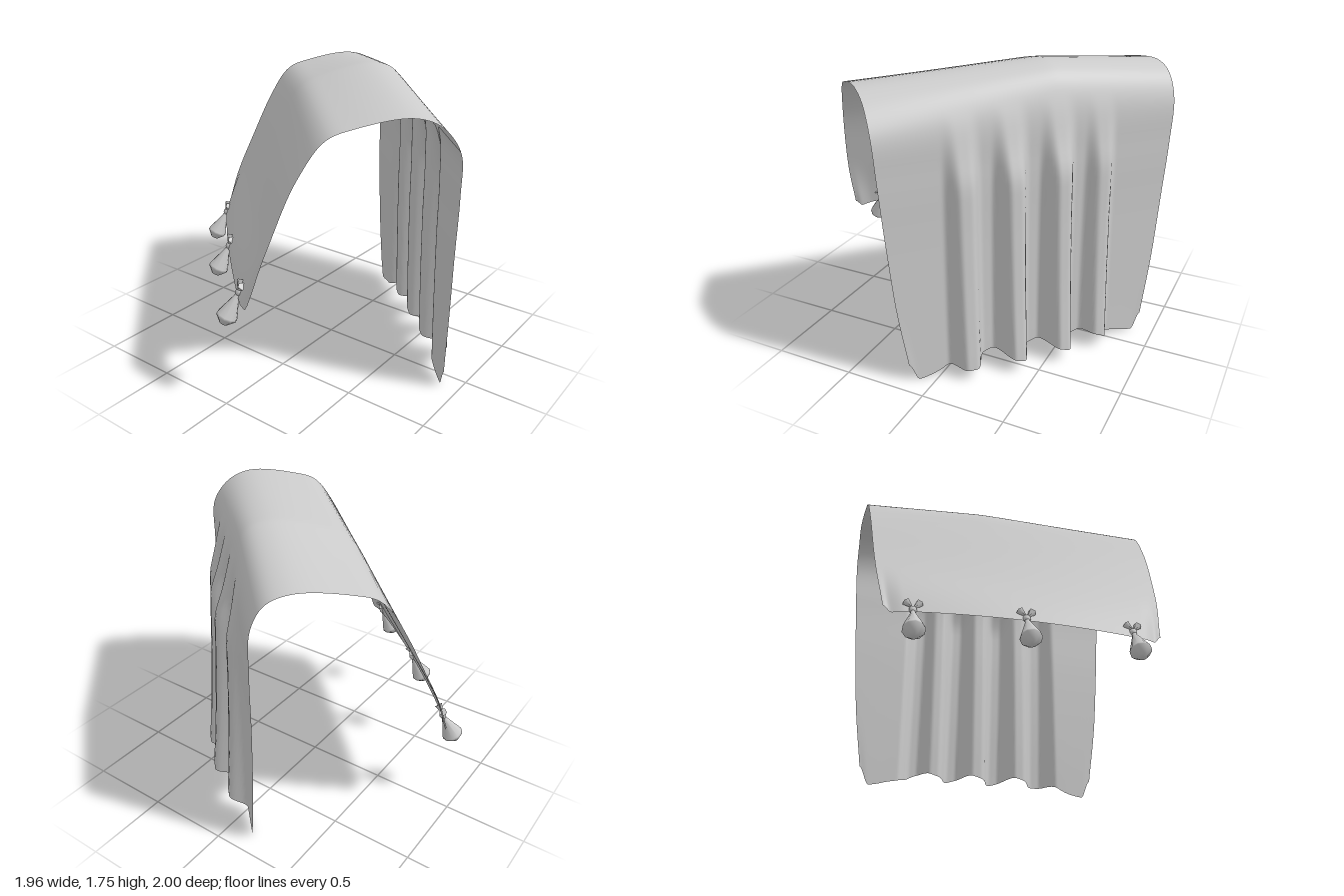
import * as THREE from 'three';

const grey = new THREE.MeshStandardMaterial({ color: 0xcccccc, side: THREE.DoubleSide });
const { smoothstep, clamp, lerp } = THREE.MathUtils;

// Cross-section of the drape from back hem to front hem: depth, height, half width
const section = new THREE.CatmullRomCurve3([
  [-0.62, 0.63, 0.79], [-0.545, 0.84, 0.82], [-0.45, 1.07, 0.845], [-0.3, 1.4, 0.87],
  [-0.165, 1.59, 0.885], [-0.02, 1.645, 0.89], [0.27, 1.685, 0.895], [0.41, 1.635, 0.89],
  [0.5, 1.5, 0.887], [0.515, 1.25, 0.873], [0.515, 0.9, 0.848], [0.52, 0.5, 0.815],
  [0.525, 0.2, 0.785], [0.53, 0, 0.76],
].map(p => new THREE.Vector3(...p)), false, 'centripetal');

// Front pleats: centre, half width, depth at the hem
const pleats = [[-0.415, 0.14, 0.128], [-0.135, 0.14, 0.165], [0.15, 0.14, 0.165], [0.415, 0.125, 0.105]];

function pleatDepth(u) {
  let depth = 0;
  for (const [centre, half, size] of pleats) {
    const k = Math.abs(u - centre) / half;
    if (k < 1) depth += size * smoothstep(0.5 + 0.5 * Math.cos(k * Math.PI), 0.05, 0.95);
  }
  return depth;
}

function clothPoint(t, s) {
  const p = section.getPoint(s);
  const a = Math.abs(t);
  let [w, y, half] = [p.x, p.y, p.z];
  const u = t * half;
  w += 0.025 * t * smoothstep(y, 0.7, 1.4) * (1 - smoothstep(s, 0.5, 0.65));
  // The ridge rises to a blunt peak off centre
  const d = (t - 0.17) / (t > 0.17 ? 0.83 : 1.17);
  const peak = 1 - Math.sqrt(d * d + 0.002);
  const lift = (0.05 + 0.08 * w) * peak * smoothstep(p.y, 1.3, 1.66);
  if (p.x > 0.4 && s > 0.5) {
    // Front panel: pleats deepen downward, hem is higher in the middle
    const drop = smoothstep(1.55 - y, 0, 0.4);
    w += pleatDepth(u) * drop * lerp(1, 0.55, clamp(y / 1.4, 0, 1));
    const hem = 0.09 * (1 - smoothstep(a, 0.45, 0.95)) + 0.11 * smoothstep(a, 0.92, 1)
      + 0.015 * Math.sin(u * 21) * (1 - smoothstep(a, 0.6, 0.85));
    y += hem * (1 - smoothstep(y, 0, 0.6));
  } else if (s < 0.3) {
    // Back panel: slightly bowed, with rounded corners
    const low = 1 - smoothstep(y, 0.63, 1.0);
    y += low * (0.025 * (1 - a * a) + 0.045 * smoothstep(a, 0.94, 1));
    w += low * (0.025 * smoothstep(a, 0.85, 1) - 0.03 * (1 - t * t));
  }
  return [u, y + lift, w];
}

function makeCloth() {
  const cols = 160, rows = 90, pos = [], index = [];
  for (let j = 0; j <= rows; j++)
    for (let i = 0; i <= cols; i++) pos.push(...clothPoint(i / cols * 2 - 1, j / rows));
  for (let j = 0; j < rows; j++)
    for (let i = 0; i < cols; i++) {
      const a = j * (cols + 1) + i, b = a + 1, c = a + cols + 1, d = c + 1;
      index.push(a, c, b, b, c, d);
    }
  const g = new THREE.BufferGeometry();
  g.setAttribute('position', new THREE.Float32BufferAttribute(pos, 3));
  g.setIndex(index);
  g.computeVertexNormals();
  const cloth = new THREE.Mesh(g, grey);
  cloth.name = 'drapedCloth';
  return cloth;
}

// Cone-shaped tassel with a blunt base, hanging from a small bow at its origin
function makeTassel() {
  const tassel = new THREE.Group();
  const profile = [[0, -0.212], [0.026, -0.21], [0.062, -0.168], [0.06, -0.155],
    [0.016, -0.035], [0.012, -0.01]].map(p => new THREE.Vector2(...p));
  const bell = new THREE.Mesh(new THREE.LatheGeometry(profile, 10), grey);
  bell.name = 'tasselBell';
  tassel.add(bell);
  const knot = new THREE.Mesh(new THREE.SphereGeometry(0.022, 8, 6), grey);
  knot.name = 'tasselKnot';
  knot.scale.set(1, 1.2, 0.9);
  tassel.add(knot);
  for (const side of [-1, 1]) {
    const loop = new THREE.Mesh(new THREE.ConeGeometry(0.024, 0.065, 5), grey);
    loop.name = 'bowLoop';
    loop.position.set(side * 0.017, 0.026, -0.008);
    loop.rotation.z = side * 2.5;
    tassel.add(loop);
  }
  return tassel;
}

export function createModel() {
  const model = new THREE.Group();
  model.name = 'drapedBlanket';
  const turned = new THREE.Group();
  turned.name = 'blanket';
  turned.rotation.y = 0.82;
  turned.add(makeCloth());
  // Three tassels along the back hem, leaning outward
  const spots = [[-0.61, 0.675, -0.625], [0.02, 0.67, -0.645], [0.635, 0.65, -0.63]];
  spots.forEach((spot, i) => {
    const tassel = makeTassel();
    tassel.name = 'tassel' + (i + 1);
    tassel.position.set(...spot);
    tassel.rotation.x = 0.46;
    turned.add(tassel);
  });
  model.add(turned);
  return model;
}
